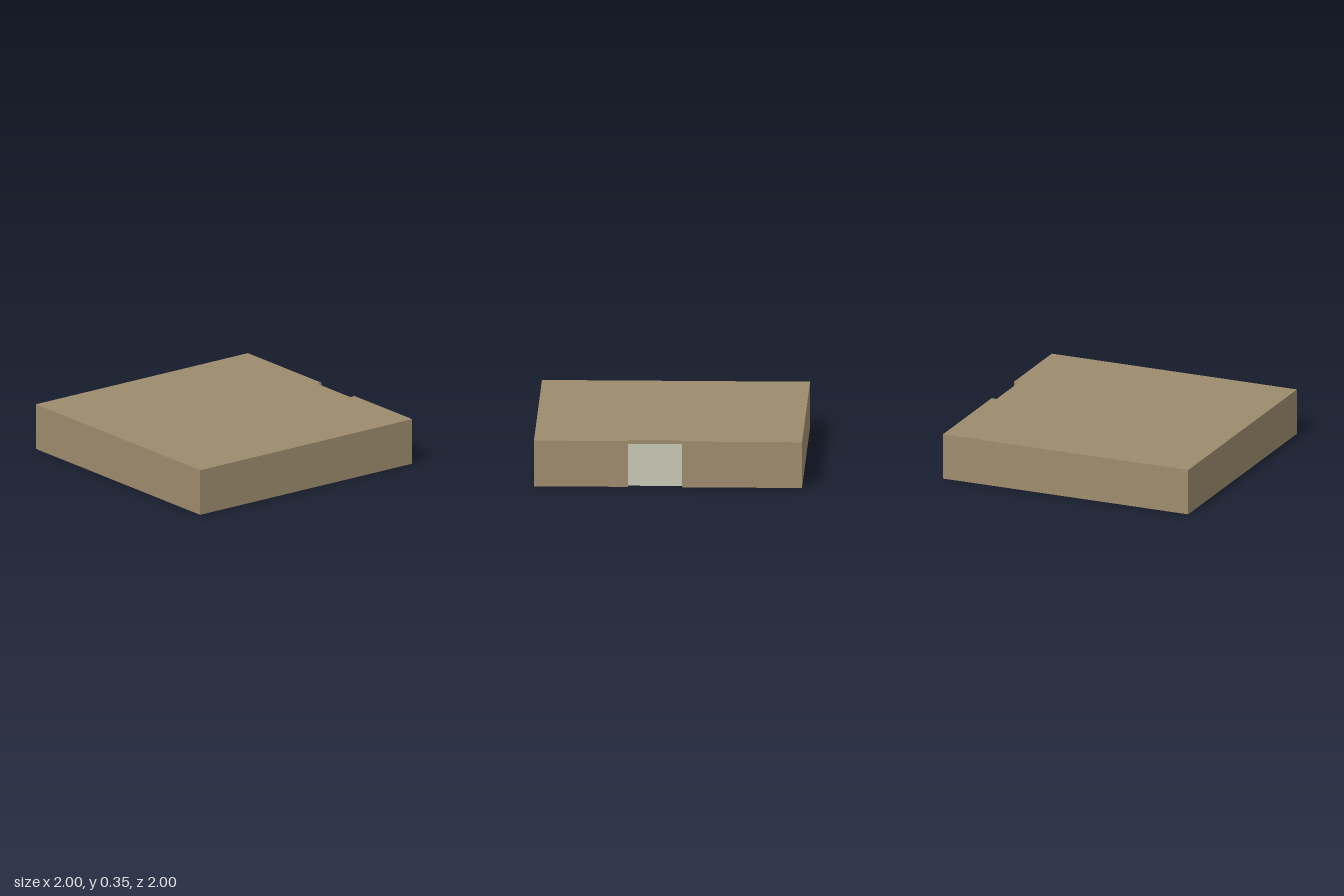
import * as THREE from 'three';

export function createModel() {
  const model = new THREE.Group();
  const tan = new THREE.MeshStandardMaterial({ color: 0x9d8b6d });
  tan.name = 'tan wall';
  const pale = new THREE.MeshStandardMaterial({ color: 0xc9c9b7 });
  pale.name = 'pale lining';

  const H = 0.35, inner = 0.96, roofT = 0.03, floorT = 0.015;
  const gapBack = -0.105, gapFront = 0.3; // z range of the doorway

  const add = (name, geometry, material, x = 0, y = 0, z = 0) => {
    const mesh = new THREE.Mesh(geometry, material);
    mesh.name = name;
    mesh.position.set(x, y, z);
    model.add(mesh);
  };

  // Perimeter walls: a square ring, open at the doorway (plan drawn as x, -z)
  const plan = [
    [1, -gapBack], [1, 1], [-1, 1], [-1, -1], [1, -1], [1, -gapFront],
    [inner, -gapFront], [inner, -inner], [-inner, -inner],
    [-inner, inner], [inner, inner], [inner, -gapBack],
  ].map(([x, y]) => new THREE.Vector2(x, y));
  const walls = new THREE.ExtrudeGeometry(new THREE.Shape(plan), { depth: H, bevelEnabled: false });
  walls.rotateX(-Math.PI / 2);
  add('walls', walls, tan);

  // Roof and floor slabs fitted inside the walls
  add('roof', new THREE.BoxGeometry(2 * inner, roofT, 2 * inner), tan, 0, H - roofT / 2, 0);
  add('floor', new THREE.BoxGeometry(2 * inner, floorT, 2 * inner), pale, 0, floorT / 2, 0);

  // Door panel set back in the doorway, between floor and roof
  const doorH = H - roofT - floorT;
  add('doorPanel', new THREE.BoxGeometry(0.02, doorH, gapFront - gapBack), pale,
    inner - 0.01, floorT + doorH / 2, (gapFront + gapBack) / 2);

  return model;
}
